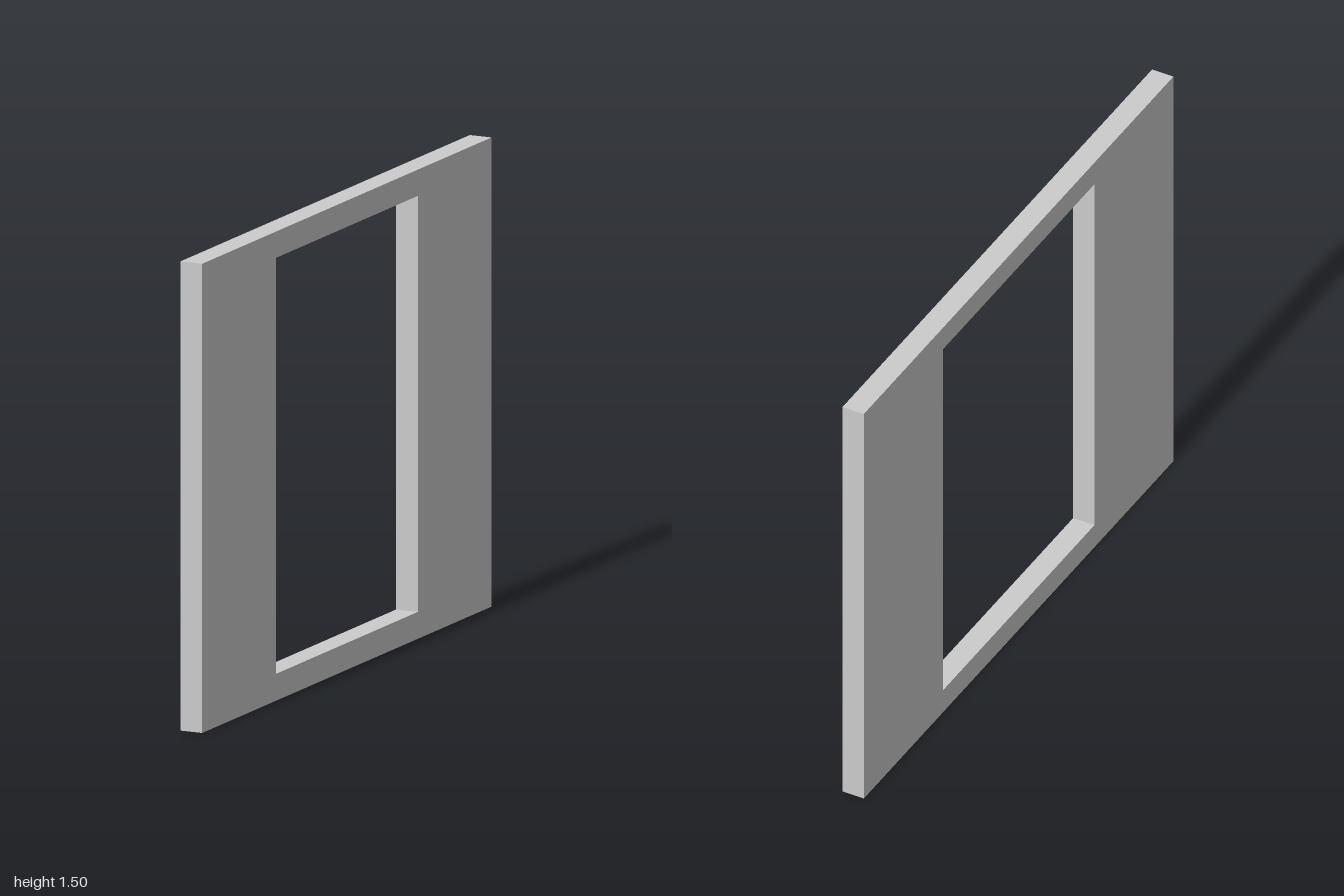
import * as THREE from 'three';

const WIDTH = 2, HEIGHT = 1.5, THICKNESS = 0.076;
const OPENING = { halfWidth: 0.49, bottom: 0.086, top: 1.416 };

// Rectangle outline in the plane of the wall
function rectangle(path, halfWidth, bottom, top) {
  path.moveTo(-halfWidth, bottom);
  path.lineTo(halfWidth, bottom);
  path.lineTo(halfWidth, top);
  path.lineTo(-halfWidth, top);
  path.closePath();
  return path;
}

export function createModel() {
  const model = new THREE.Group();
  model.name = 'wallPanel';

  // Flat wall with a rectangular window opening
  const outline = rectangle(new THREE.Shape(), WIDTH / 2, 0, HEIGHT);
  outline.holes.push(rectangle(new THREE.Path(), OPENING.halfWidth, OPENING.bottom, OPENING.top));

  const geometry = new THREE.ExtrudeGeometry(outline, { depth: THICKNESS, bevelEnabled: false });
  geometry.translate(0, 0, -THICKNESS / 2);
  geometry.rotateY(Math.PI / 2); // the wall runs along z

  const wall = new THREE.Mesh(geometry, new THREE.MeshStandardMaterial({ color: 0xcccccc, flatShading: true }));
  wall.name = 'wallWithOpening';
  model.add(wall);
  return model;
}
